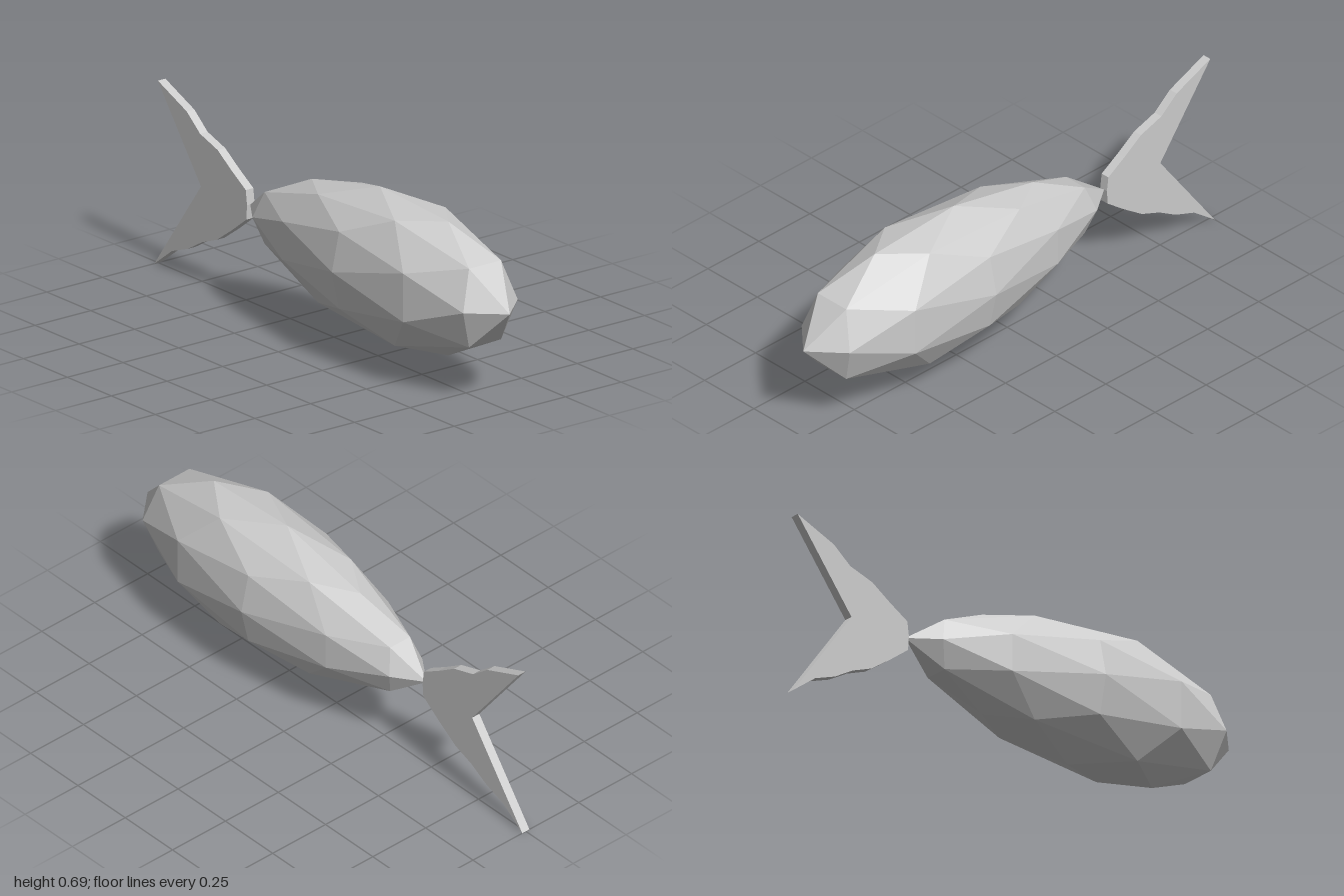
import * as THREE from 'three';

export function createModel() {
  const model = new THREE.Group();
  const material = new THREE.MeshStandardMaterial({ color: 0xcccccc, flatShading: true });
  const midY = 0.363;

  // Body: faceted ball stretched along x, slimmer towards the tail
  const bodyGeo = new THREE.IcosahedronGeometry(1, 1);
  const pos = bodyGeo.attributes.position;
  for (let i = 0; i < pos.count; i++) {
    const x = pos.getX(i);
    const girth = 0.274 + 0.063 * x - 0.046 * x * x;
    pos.setXYZ(i, 0.262 + 0.738 * x, midY + pos.getY(i) * girth, pos.getZ(i) * girth * 0.79);
  }
  bodyGeo.computeVertexNormals();
  const body = new THREE.Mesh(bodyGeo, material);
  body.name = 'body';
  model.add(body);

  // Tail fin: forked outline, thin slab
  const outline = [
    [-0.477, 0.31], [-0.473, 0.365], [-0.48, 0.42], [-0.56, 0.47], [-0.64, 0.525], [-0.74, 0.558],
    [-0.815, 0.62], [-0.98, 0.69], [-0.735, 0.362], [-1, 0], [-0.9, 0.075], [-0.81, 0.108],
    [-0.73, 0.155], [-0.645, 0.188], [-0.56, 0.247],
  ];
  const shape = new THREE.Shape(outline.map(([x, y]) => new THREE.Vector2(x, y)));
  const tailGeo = new THREE.ExtrudeGeometry(shape, { depth: 0.034, bevelEnabled: false });
  tailGeo.translate(0, 0, -0.017);
  const tail = new THREE.Mesh(tailGeo, material);
  tail.name = 'tailFin';
  model.add(tail);

  return model;
}
